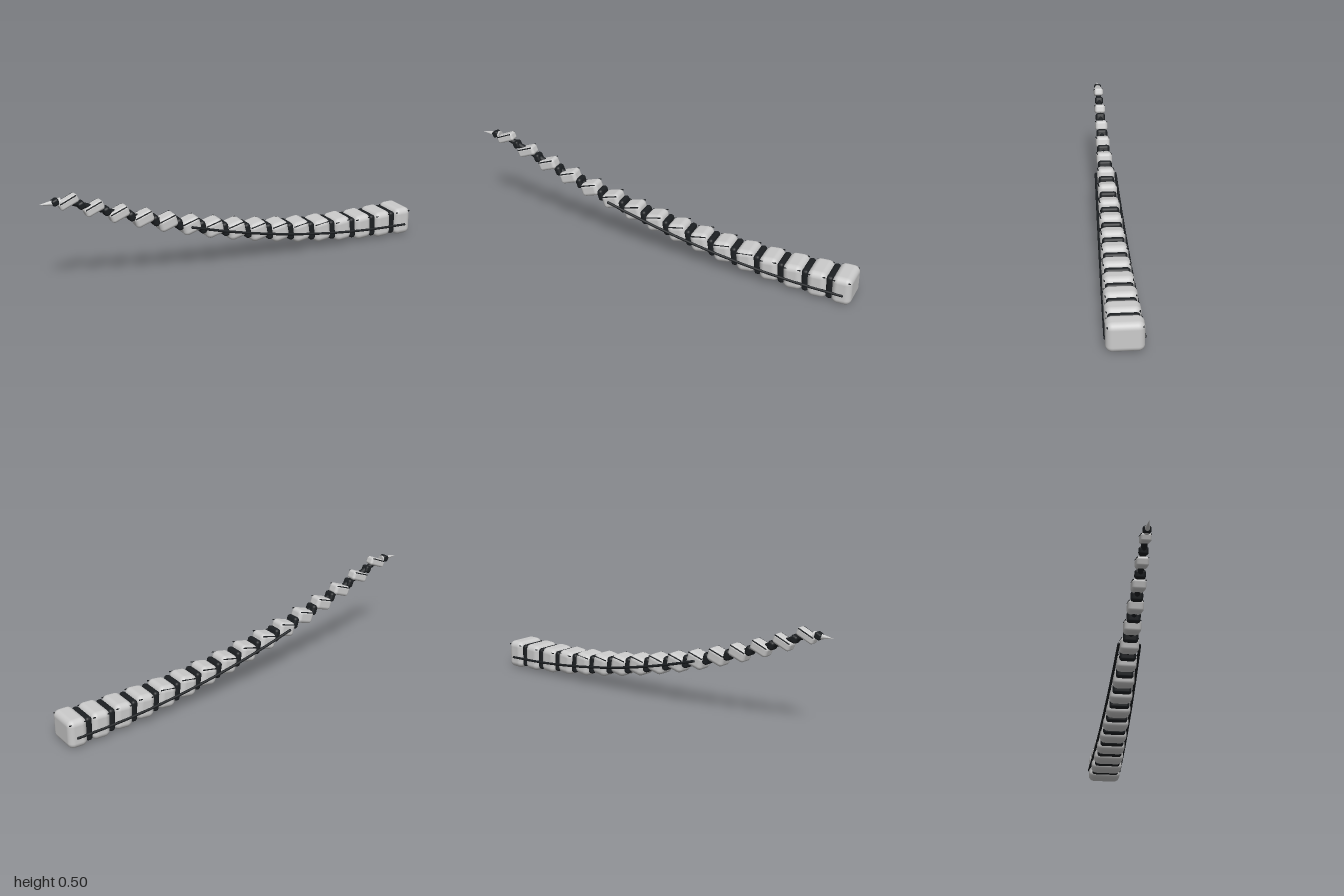
import * as THREE from 'three';
import { RoundedBoxGeometry } from 'three/addons/geometries/RoundedBoxGeometry.js';

const COUNT = 16, PITCH = 0.121, START = 0.952;
const SPAN = PITCH * (COUNT - 1);

// Centre line of the tail: t = 0 at the root, 1 at the last segment
const spineX = t => START - SPAN * t;
const spineY = t => 0.074 + 0.39 * t * t;
const tilt = t => Math.atan(2 * 0.39 * t / SPAN);
const widthAt = t => THREE.MathUtils.lerp(0.17, 0.047, t);
const heightAt = t => THREE.MathUtils.lerp(0.143, 0.04, t);

export function createModel() {
  const model = new THREE.Group();
  const plate = new THREE.MeshStandardMaterial({ color: 0xcccccc });
  const dark = new THREE.MeshStandardMaterial({ color: 0x1c1f22 });

  const add = (parent, name, geometry, material, x = 0, y = 0, z = 0) => {
    const mesh = new THREE.Mesh(geometry, material);
    mesh.name = name;
    mesh.position.set(x, y, z);
    parent.add(mesh);
    return mesh;
  };

  const tube = (name, points, radius) => {
    const path = new THREE.CatmullRomCurve3(points);
    add(model, name, new THREE.TubeGeometry(path, 48, radius, 8), dark);
    // round ends
    for (const p of [points[0], points[points.length - 1]])
      add(model, name + 'End', new THREE.SphereGeometry(radius, 8, 6), dark, p.x, p.y, p.z);
  };

  for (let i = 0; i < COUNT; i++) {
    const t = i / (COUNT - 1);
    const w = widthAt(t), h = heightAt(t);

    // Armour segment with a thin rod along each upper corner
    const segment = new THREE.Group();
    segment.name = 'segment';
    segment.position.set(spineX(t), spineY(t), 0);
    segment.rotation.z = tilt(t);
    add(segment, 'plate', new RoundedBoxGeometry(0.096, h, w, 4, Math.min(0.03, h * 0.3)), plate);
    for (const s of [-1, 1]) {
      const rod = add(segment, 'cornerRod', new THREE.CylinderGeometry(0.003, 0.003, 0.084, 6),
        dark, 0, h * 0.37, s * w * 0.45);
      rod.rotation.z = Math.PI / 2;
    }
    model.add(segment);

    // Dark joint behind each segment
    const j = (i + 0.5) / (COUNT - 1);
    const jh = heightAt(j) * 0.86, jw = widthAt(j) * 0.86;
    const joint = add(model, 'joint', new RoundedBoxGeometry(0.034, jh, jw, 3, Math.min(0.015, jh * 0.3)),
      dark, spineX(j), Math.min(spineY(j), 0.472), 0);
    joint.rotation.z = tilt(j);
  }

  // Core running through all segments
  const core = [];
  for (let k = 0; k <= 8; k++) core.push(new THREE.Vector3(spineX(k / 8), spineY(k / 8), 0));
  tube('core', core, 0.014);

  // Side cables along the thicker half
  for (const s of [-1, 1]) {
    const cable = [];
    for (let k = 0; k <= 8; k++) {
      const t = 0.675 * k / 8;
      cable.push(new THREE.Vector3(spineX(t) + 0.008, spineY(t) - 0.015 * (1 - k / 10),
        s * THREE.MathUtils.lerp(0.085, 0.05, k / 8)));
    }
    tube('sideCable', cable, 0.0065);
  }

  // Pointed end
  const tip = add(model, 'tip', new THREE.ConeGeometry(0.019, 0.1, 16), plate, -0.95, 0.47, 0);
  tip.rotation.z = Math.PI / 2;

  return model;
}
